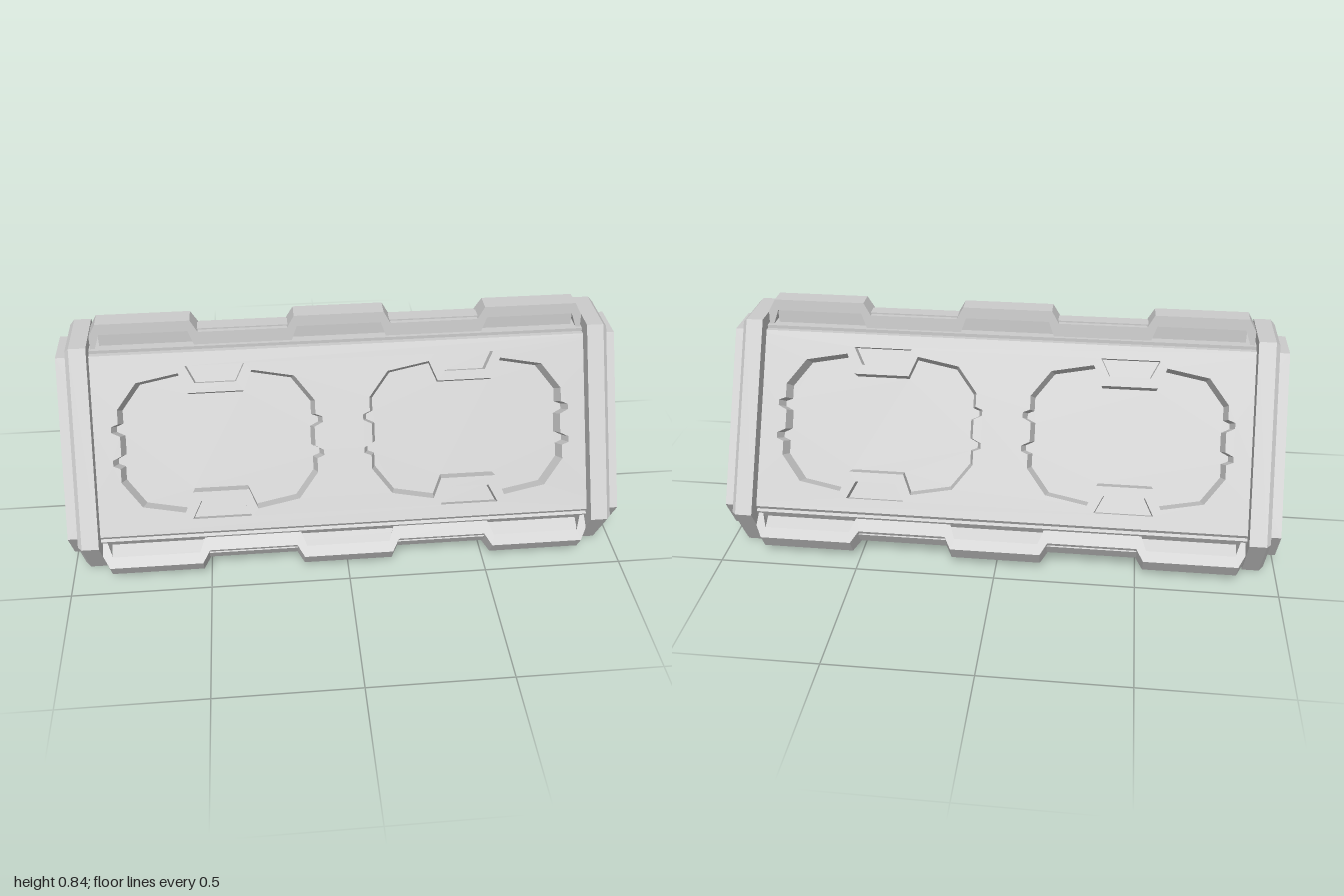
import * as THREE from 'three';
import { mergeGeometries } from 'three/addons/utils/BufferGeometryUtils.js';

const CENTER = 0.32; // height of the prism axis
const FACE = 0.27, CORNER = 0.415; // body: axis to long faces / to cut corners
const material = new THREE.MeshStandardMaterial({ color: 0xcccccc, flatShading: true });

const toPoints = (list) => list.map(([x, y]) => new THREE.Vector2(x, y));
const ccw = (pts) => (THREE.ShapeUtils.area(pts) < 0 ? pts.slice().reverse() : pts);

function add(parent, name, geometry) {
  const mesh = new THREE.Mesh(geometry, material);
  mesh.name = name;
  parent.add(mesh);
  return mesh;
}

// Wall between two matching counter-clockwise contours at heights za and zb
function wall(A, za, B, zb) {
  const pos = [], uv = [];
  A.forEach((a, i) => {
    const j = (i + 1) % A.length;
    const p = [a.x, a.y, za], q = [A[j].x, A[j].y, za];
    const r = [B[j].x, B[j].y, zb], s = [B[i].x, B[i].y, zb];
    pos.push(...p, ...q, ...r, ...p, ...r, ...s);
    uv.push(0, 0, 1, 0, 1, 1, 0, 0, 1, 1, 0, 1);
  });
  const g = new THREE.BufferGeometry();
  g.setAttribute('position', new THREE.Float32BufferAttribute(pos, 3));
  g.setAttribute('uv', new THREE.Float32BufferAttribute(uv, 2));
  g.computeVertexNormals();
  return g;
}

const flat = (shape, z) => new THREE.ShapeGeometry(shape).toNonIndexed().translate(0, 0, z);

// Flat sheet with sunken pockets whose walls taper to the floor
function panel(outline, pockets) {
  const sheet = new THREE.Shape(outline);
  const parts = [];
  for (const { contour, depth, taper } of pockets) {
    const rim = ccw(contour);
    const mid = new THREE.Box2().setFromPoints(rim).getCenter(new THREE.Vector2());
    const floor = rim.map((p) => p.clone().sub(mid).multiplyScalar(taper).add(mid));
    sheet.holes.push(new THREE.Path(rim));
    parts.push(wall(rim, 0, floor, -depth), flat(new THREE.Shape(floor), -depth));
  }
  parts.push(flat(sheet, 0));
  return mergeGeometries(parts);
}

// Triangle with cut corners, given the axis distances of its faces and corners
function section(face, corner) {
  const half = (face - corner / 2) / (Math.sqrt(3) / 2);
  const pts = [];
  for (let k = 0; k < 3; k++) {
    const t = (k * 2 * Math.PI) / 3;
    for (const s of [half, -half]) {
      pts.push(new THREE.Vector2(s, corner).rotateAround(new THREE.Vector2(), t));
    }
  }
  return ccw(pts);
}

// Notched window, mirrored from one quarter, with a small slot above and below
function windowPockets(cx) {
  const quarter = [[0.10, 0.178], [0.13, 0.25], [0.28, 0.222], [0.35, 0.13],
    [0.35, 0.08], [0.375, 0.07], [0.375, 0.05], [0.345, 0.035]];
  const right = [...quarter, ...quarter.map(([x, y]) => [x, -y]).reverse()];
  const loop = [...right, ...right.map(([x, y]) => [-x, y]).reverse()];
  const pockets = [{ contour: toPoints(loop.map(([x, y]) => [x + cx, y])), depth: 0.045, taper: 0.96 }];
  for (const s of [1, -1]) {
    const slot = [[-0.105, 0.275], [0.105, 0.275], [0.073, 0.212], [-0.073, 0.212]];
    pockets.push({ contour: toPoints(slot.map(([x, y]) => [x + cx, y * s])), depth: 0.03, taper: 0.96 });
  }
  return pockets;
}

// Toothed rail along a cut corner: hollow under each tooth, narrowing to the top
function railGeometry() {
  const low = 0.475, high = 0.52, base = CORNER;
  const teeth = [[-0.88, -0.5], [-0.185, 0.185], [0.5, 0.88]];
  const top = [], under = [];
  for (const [a, b] of teeth) {
    top.push([a, low], [a + 0.025, high], [b - 0.025, high], [b, low]);
    under.push([a + 0.012, base], [a + 0.035, 0.48], [b - 0.035, 0.48], [b - 0.012, base]);
  }
  const outline = [[-0.88, base], ...top, [0.88, base], ...under.reverse()];
  const g = new THREE.ExtrudeGeometry(new THREE.Shape(toPoints(outline)), { depth: 2, bevelEnabled: false });
  const p = g.attributes.position;
  for (let i = 0; i < p.count; i++) {
    const halfWidth = 0.044 - 0.1 * (p.getY(i) - base);
    p.setZ(i, (p.getZ(i) - 1) * halfWidth);
  }
  g.computeVertexNormals();
  return g;
}

export function createModel() {
  const root = new THREE.Group();
  root.name = 'prismCrate';
  const body = new THREE.Group();
  body.name = 'body';
  body.position.y = CENTER;
  root.add(body);

  // Long faces: two windowed sides and a plain underside
  const halfFace = (CORNER - FACE / 2) / (Math.sqrt(3) / 2);
  const sheet = toPoints([[-1, -halfFace], [1, -halfFace], [1, halfFace], [-1, halfFace]]);
  const windows = [...windowPockets(-0.448), ...windowPockets(0.448)];
  const sides = [['frontPanel', -30, windows], ['backPanel', -150, windows], ['bottomPanel', 90, []]];
  for (const [name, angle, pockets] of sides) {
    const g = panel(sheet, pockets).translate(0, 0, FACE);
    add(body, name, g).rotation.x = THREE.MathUtils.degToRad(angle);
  }

  // Cut corners, each with a base strip, a toothed rail and the web inside it
  const halfCorner = (FACE - CORNER / 2) / (Math.sqrt(3) / 2);
  ['top', 'front', 'back'].forEach((side, k) => {
    const corner = new THREE.Group();
    corner.name = side + 'Corner';
    corner.rotation.x = (k * 2 * Math.PI) / 3;
    add(corner, 'cornerFace', new THREE.PlaneGeometry(2, halfCorner * 2).rotateX(-Math.PI / 2).translate(0, CORNER, 0));
    add(corner, 'baseStrip', new THREE.BoxGeometry(1.77, 0.012, 0.11).translate(0, CORNER + 0.006, 0));
    add(corner, 'railWeb', new THREE.BoxGeometry(1.7, 0.065, 0.045).translate(0, CORNER + 0.0325, 0));
    add(corner, 'rail', railGeometry());
    body.add(corner);
  });

  // End plates with three pockets, and a chamfered collar round each end
  const lower = [[0.225, 0.26], [0.232, 0.235], [0.12, 0.113], [0.10, 0.102]];
  const upper = [[0.02, 0.615], [0.07, 0.592], [0.088, 0.572], [0.225, 0.332], [0.102, 0.308], [0.02, 0.6]];
  const mirror = (list) => list.map(([x, y]) => [-x, y]).reverse();
  const endPockets = [[...lower, ...mirror(lower)], upper, mirror(upper)].map((list) => ({
    contour: toPoints(list.map(([x, y]) => [x, y - CENTER])), depth: 0.025, taper: 0.95,
  }));
  const outer = section(0.32, 0.467), chamfer = section(0.305, 0.452);
  for (const [name, s] of [['leftEnd', 1], ['rightEnd', -1]]) {
    const end = new THREE.Group();
    end.name = name;
    end.rotation.y = (s * Math.PI) / 2;
    add(end, 'endPlate', panel(section(FACE, CORNER), endPockets).translate(0, 0, 1));
    add(end, 'collar', mergeGeometries([
      wall(outer, 0.885, outer, 0.945),
      wall(outer, 0.945, chamfer, 0.96),
      flat(new THREE.Shape(chamfer), 0.96),
      flat(new THREE.Shape(outer), -0.885).rotateY(Math.PI).translate(0, 0, 0),
    ]));
    body.add(end);
  }
  return root;
}
